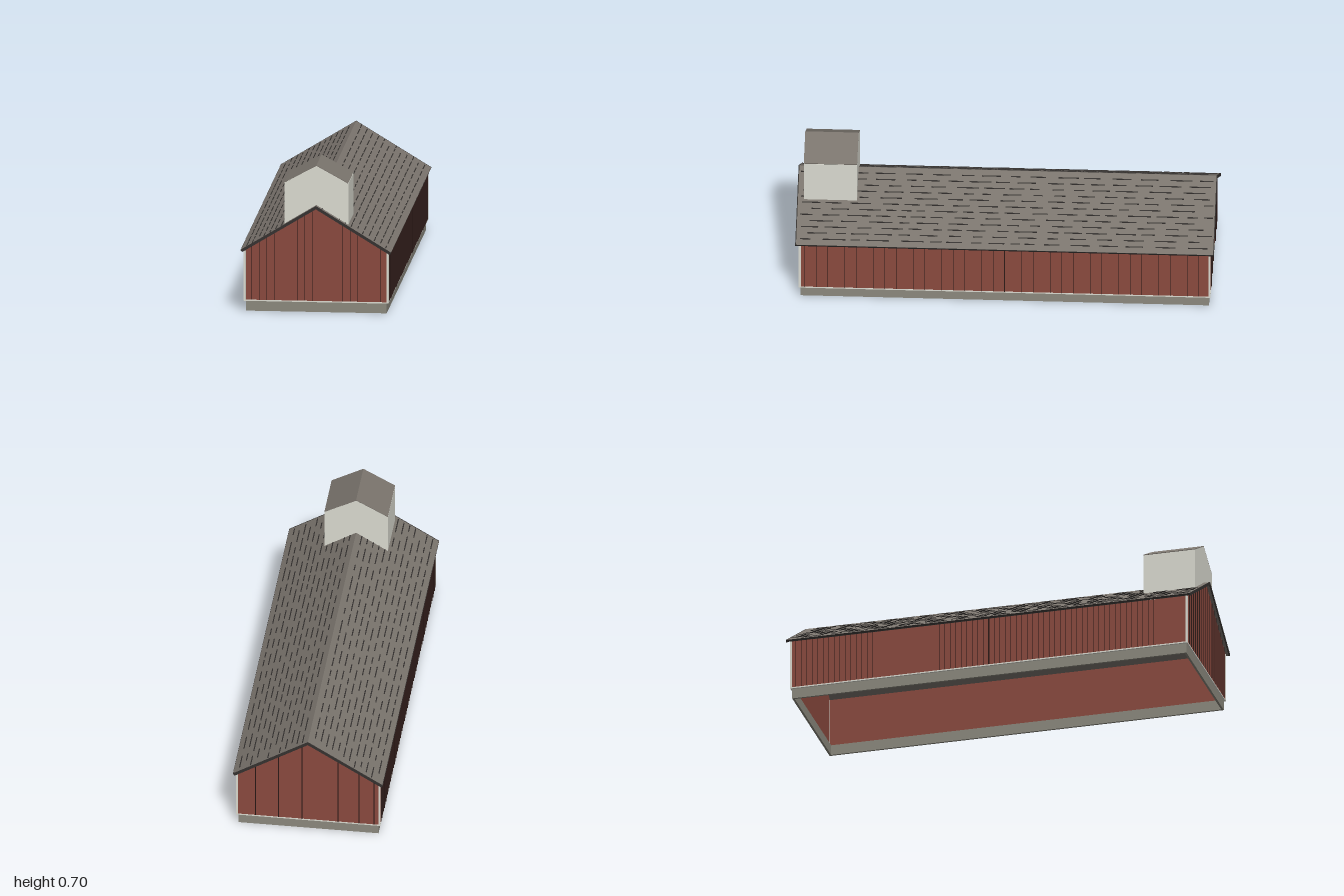
import * as THREE from 'three';
import { mergeGeometries } from 'three/addons/utils/BufferGeometryUtils.js';

const paint = (color) => new THREE.MeshStandardMaterial({ color, side: THREE.DoubleSide, flatShading: true });
const red = paint(0x8b4a3f), dark = paint(0x2c1a17), stone = paint(0x8c897e), white = paint(0xdcdcd2);
const shingle = paint(0x7a746d), shadow = paint(0x353230);

function box(w, h, d, x, y, z) {
  return new THREE.BoxGeometry(w, h, d).translate(x, y, z);
}

function add(parent, name, geometry, material) {
  const mesh = new THREE.Mesh(Array.isArray(geometry) ? mergeGeometries(geometry) : geometry, material);
  mesh.name = name;
  parent.add(mesh);
  return mesh;
}

// four thin walls around an open rectangle
function ring(length, width, y0, y1, t) {
  const h = y1 - y0, y = (y0 + y1) / 2, parts = [];
  for (const s of [-1, 1]) {
    parts.push(box(length, h, t, 0, y, s * (width - t) / 2));
    parts.push(box(t, h, width - 2 * t, s * (length - t) / 2, y, 0));
  }
  return parts;
}

// five-sided gable panel, standing across the x axis
function gable(half, y0, eave, apex, t, x) {
  const shape = new THREE.Shape([[-half, y0], [half, y0], [half, eave], [0, apex], [-half, eave]]
    .map(([a, b]) => new THREE.Vector2(a, b)));
  return new THREE.ExtrudeGeometry(shape, { depth: t, bevelEnabled: false })
    .translate(0, 0, -t / 2).rotateY(Math.PI / 2).translate(x, 0, 0);
}

// frame whose local +z runs down one roof slope from the ridge
function slopeFrame(parent, name, side, ridge, half, rise) {
  const turn = new THREE.Group();
  turn.name = name;
  turn.rotation.y = side > 0 ? 0 : Math.PI;
  const frame = new THREE.Group();
  frame.position.y = ridge;
  frame.rotation.x = Math.atan2(rise, half);
  turn.add(frame);
  parent.add(turn);
  return frame;
}

export function createModel() {
  const model = new THREE.Group();
  model.name = 'barn';
  const barn = new THREE.Group();
  barn.name = 'building';
  barn.rotation.y = 0.64;
  model.add(barn);

  let seed = 7;
  const random = () => (seed = (seed * 16807) % 2147483647) / 2147483647;

  const L = 1.926, W = 0.678, T = 0.006;
  const ridge = 0.51, eave = 0.295, roofHalf = 0.353, roofLength = 1.958;
  const slope = (ridge - eave) / roofHalf;
  const wallTop = ridge - 0.014 - slope * W / 2;

  // foundation and the pale sill above it
  add(barn, 'foundation', ring(1.914, 0.662, 0, 0.05, 0.01), stone);
  add(barn, 'sill', ring(L + 0.002, W + 0.002, 0.048, 0.054, 0.01), white);

  // walls
  for (const s of [-1, 1]) {
    add(barn, 'sideWall', box(L, wallTop - 0.05, T, 0, (wallTop + 0.05) / 2, s * (W - T) / 2), red);
    add(barn, 'gableWall', gable(W / 2, 0.05, wallTop, ridge - 0.014, T, s * (L - T) / 2), red);
  }

  // thin upright board seams on the side walls, with a wider joint in the middle
  const seams = [];
  for (const s of [-1, 1]) {
    for (let i = 1; i < 72; i++) {
      const x = -L / 2 + (i * L) / 72;
      seams.push(box(i === 36 ? 0.005 : 0.0008, wallTop - 0.055, 0.004, x, (wallTop + 0.055) / 2, s * (W / 2 + 0.002)));
    }
  }
  // close seams on one gable, a few wide boards on the other
  const gableSeam = (side, z, w) => {
    const top = ridge - 0.014 - slope * Math.abs(z);
    seams.push(box(0.004, top - 0.055, w, side * (L / 2 + 0.002), (top + 0.055) / 2, z));
  };
  for (let i = 1; i < 19; i++) gableSeam(-1, -W / 2 + (i * W) / 19, 0.001);
  for (const z of [-0.25, -0.14, -0.03, 0.14, 0.24, 0.31]) gableSeam(1, -z, 0.004);
  add(barn, 'boardSeams', seams, dark);

  // corner trim
  const corners = [];
  for (const sx of [-1, 1]) for (const sz of [-1, 1]) {
    corners.push(box(0.01, wallTop - 0.05, 0.01, sx * (L / 2 - 0.003), (wallTop + 0.05) / 2, sz * (W / 2 - 0.003)));
  }
  add(barn, 'cornerTrim', corners, white);

  // main roof: two slabs with staggered shingle shadows and dark edges
  const slopeLength = Math.hypot(roofHalf, ridge - eave), rows = 13;
  for (const side of [1, -1]) {
    const frame = slopeFrame(barn, 'roofSlope', side, ridge, roofHalf, ridge - eave);
    add(frame, 'roofSlab', box(roofLength, 0.01, slopeLength, 0, -0.005, slopeLength / 2), shingle);
    const dashes = [];
    for (let r = 1; r < rows; r++) {
      let x = -roofLength / 2 + 0.01 + random() * 0.06;
      while (x < roofLength / 2 - 0.05) {
        const w = Math.min(0.04 + random() * 0.07, roofLength / 2 - 0.01 - x);
        dashes.push(box(w, 0.003, 0.005, x + w / 2, 0.0005, (r * slopeLength) / rows));
        x += w + 0.02 + random() * 0.04;
      }
    }
    add(frame, 'shingleShadows', dashes, shadow);
    const edges = [box(roofLength, 0.01, 0.003, 0, -0.005, slopeLength)];
    for (const s of [-1, 1]) edges.push(box(0.004, 0.013, slopeLength, s * roofLength / 2, -0.006, slopeLength / 2));
    add(frame, 'roofEdge', edges, shadow);
  }

  // roof turret, open below
  const turret = new THREE.Group();
  turret.name = 'turret';
  turret.position.x = -0.825;
  barn.add(turret);
  const tl = 0.25, th = 0.15, top = 0.7, te = 0.618, tRun = Math.hypot(th, top - te);
  for (const s of [-1, 1]) {
    add(turret, 'turretGable', gable(th, 0.41, te - 0.003, top - 0.003, 0.004, s * (tl / 2 - 0.002)), white);
    add(turret, 'turretWall', box(tl, te - 0.413, 0.004, 0, (te + 0.407) / 2, s * (th - 0.002)), white);
    const frame = slopeFrame(turret, 'turretRoof', s, top, th, top - te);
    add(frame, 'turretRoofSlab', box(tl, 0.004, tRun, 0, -0.002, tRun / 2), shingle);
  }
  return model;
}
